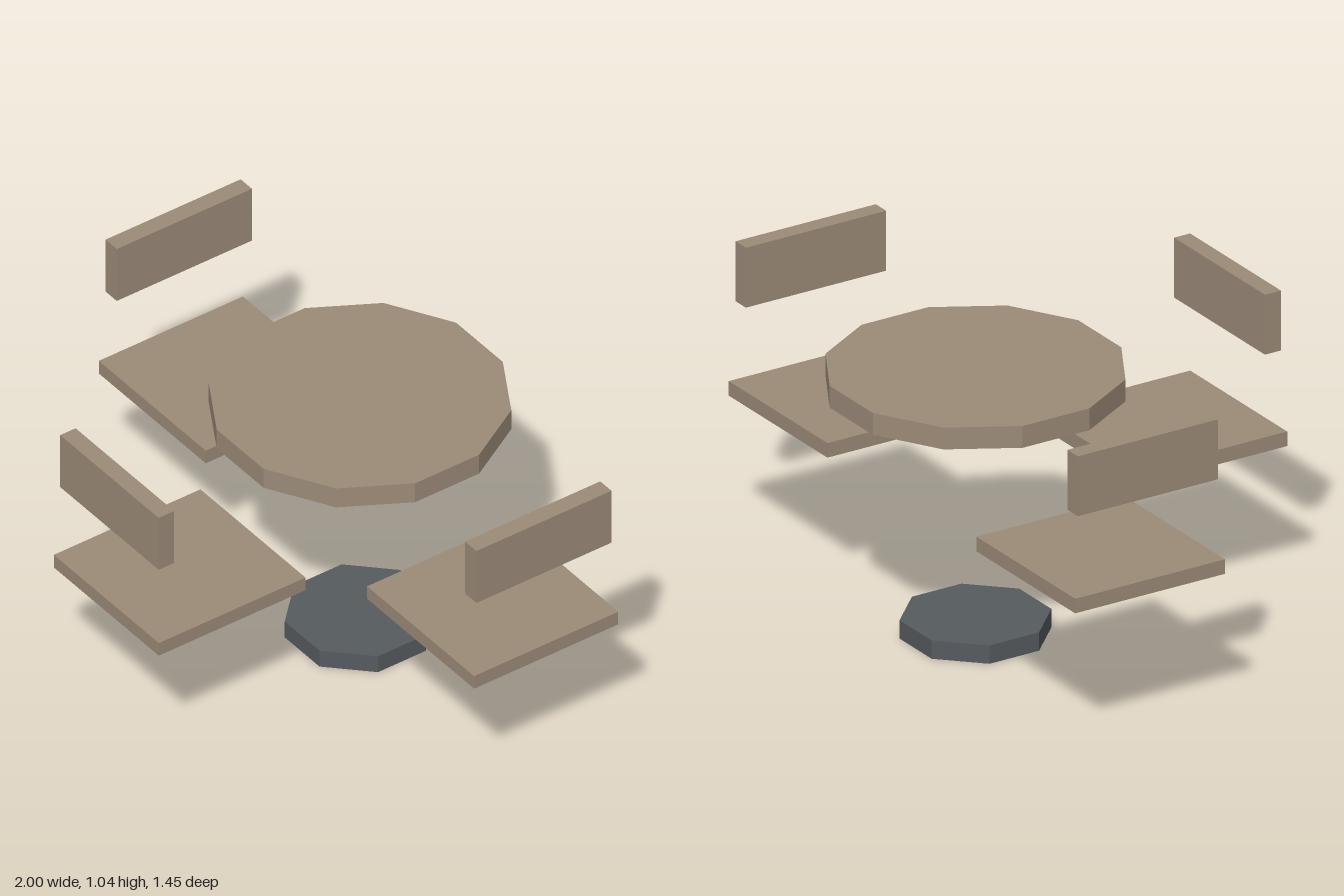
import * as THREE from 'three';

const wood = new THREE.MeshStandardMaterial({ color: 0x9c8b78, flatShading: true });
wood.name = 'taupe wood';
const metal = new THREE.MeshStandardMaterial({ color: 0x565b5f, flatShading: true, side: THREE.DoubleSide });
metal.name = 'dark metal';

const CENTRE_Z = -0.26;

function add(parent, name, geometry, material, x, y, z) {
  const mesh = new THREE.Mesh(geometry, material);
  mesh.name = name;
  mesh.position.set(x, y, z);
  parent.add(mesh);
  return mesh;
}

// Regular prism with a flat side facing the front, sized by its apothem
function prism(apothem, height, sides, open = false) {
  const r = apothem / Math.cos(Math.PI / sides);
  return new THREE.CylinderGeometry(r, r, height, sides, 1, open, Math.PI / sides);
}

export function createModel() {
  const model = new THREE.Group();
  model.name = 'tableWithSeats';

  // Twelve-sided table top
  add(model, 'tableTop', prism(0.465, 0.075, 12), wood, 0, 0.878, CENTRE_Z);

  // Octagonal foot: a shallow cap, open underneath
  const foot = new THREE.Group();
  foot.name = 'foot';
  foot.position.z = CENTRE_Z;
  model.add(foot);
  add(foot, 'footRim', prism(0.224, 0.063, 8, true), metal, 0, 0.0315, 0);
  const lid = new THREE.CircleGeometry(0.224 / Math.cos(Math.PI / 8), 8, Math.PI / 8);
  lid.rotateX(-Math.PI / 2);
  add(foot, 'footTop', lid, metal, 0, 0.063, 0);

  // Three seats, each with a backrest on its outer edge
  const places = [
    ['frontSeat', 0, 0.44, 0],
    ['leftSeat', 0.715, -0.255, Math.PI / 2],
    ['rightSeat', -0.715, -0.255, -Math.PI / 2],
  ];
  for (const [name, x, z, turn] of places) {
    const seat = new THREE.Group();
    seat.name = name;
    seat.position.set(x, 0, z);
    seat.rotation.y = turn;
    add(seat, 'seatPanel', new THREE.BoxGeometry(0.56, 0.05, 0.57), wood, 0, 0.533, 0);
    add(seat, 'backrest', new THREE.BoxGeometry(0.525, 0.206, 0.06), wood, 0, 0.936, 0.243);
    model.add(seat);
  }
  return model;
}
